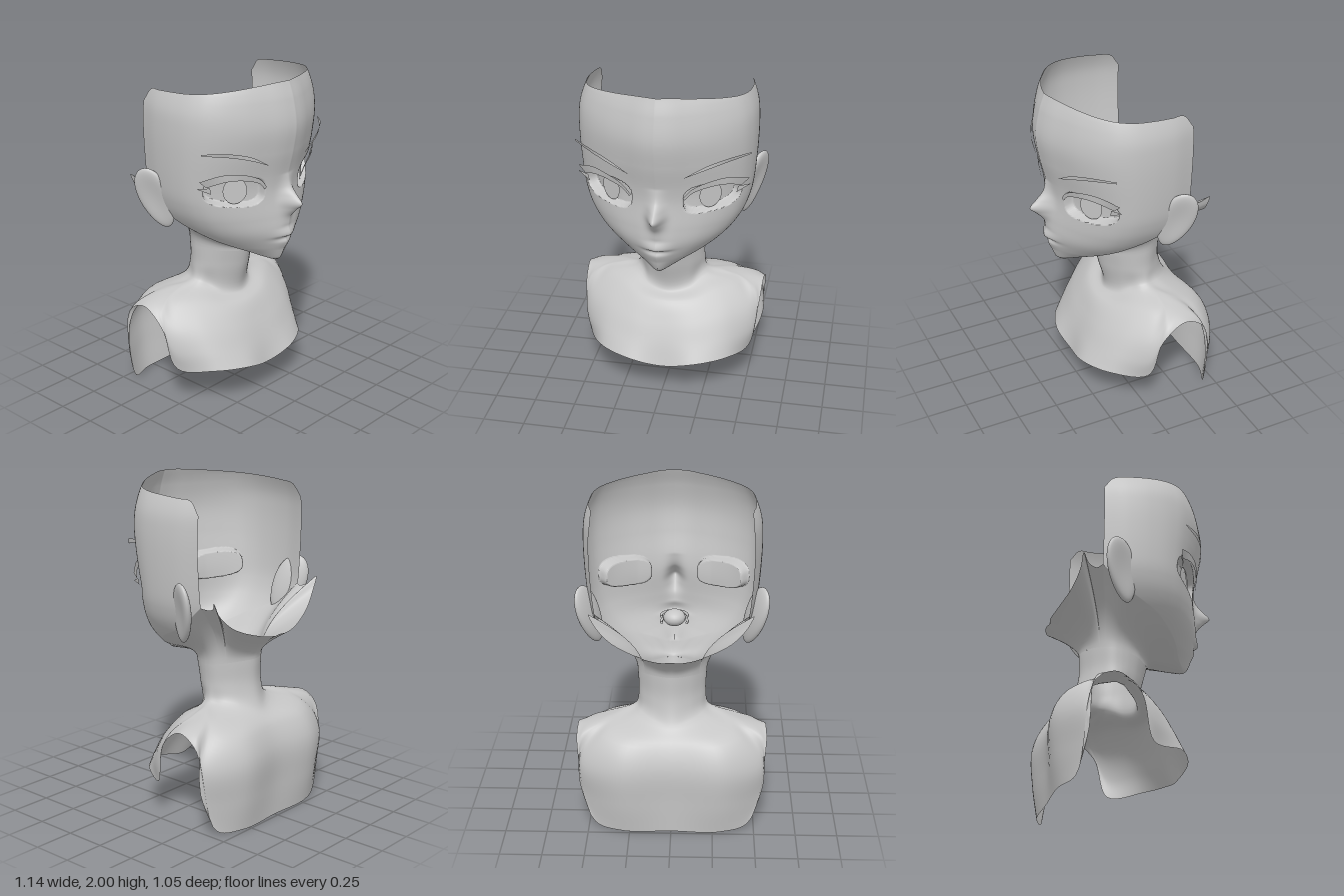
import * as THREE from 'three';
import { mergeGeometries, mergeVertices } from 'three/addons/utils/BufferGeometryUtils.js';

const V = (x, y, z) => new THREE.Vector3(x, y, z);
const { lerp, smoothstep } = THREE.MathUtils;
const skin = new THREE.MeshStandardMaterial({ color: 0xc6c6c6, side: THREE.DoubleSide });
skin.name = 'plain grey';

// Smooth curve through [position, value] knots
function curve(k) {
  const slope = i => {
    const a = k[Math.max(i - 1, 0)], b = k[Math.min(i + 1, k.length - 1)];
    return (b[1] - a[1]) / (b[0] - a[0]);
  };
  return t => {
    t = Math.min(Math.max(t, k[0][0]), k[k.length - 1][0]);
    let i = 0;
    while (i < k.length - 2 && t > k[i + 1][0]) i++;
    const h = k[i + 1][0] - k[i][0], s = (t - k[i][0]) / h, r = 1 - s;
    return k[i][1] * (1 + 2 * s) * r * r + slope(i) * h * s * r * r
      + k[i + 1][1] * s * s * (3 - 2 * s) - slope(i + 1) * h * s * s * r;
  };
}
const steps = values => curve(values.map((v, i) => [i, v]));

// Mirrored sheet: fn(u, v) gives the +x half, u = 0 at the front centre line
function sheet(fn, nu, nv, flip) {
  const pos = [], idx = [], row = 2 * nu + 1;
  for (let j = 0; j <= nv; j++) for (let i = -nu; i <= nu; i++) {
    const p = fn(Math.abs(i) / nu, j / nv);
    pos.push(i < 0 ? -p.x : p.x, p.y, p.z);
  }
  for (let j = 0; j < nv; j++) for (let i = 0; i < row - 1; i++) {
    const a = j * row + i, b = a + 1, c = b + row, d = a + row;
    if (flip) idx.push(a, c, b, a, d, c); else idx.push(a, b, c, a, c, d);
  }
  return surface(pos, idx);
}
function surface(pos, idx) {
  const g = new THREE.BufferGeometry();
  g.setAttribute('position', new THREE.Float32BufferAttribute(pos, 3));
  return g.setIndex(idx);
}
// Smooth mesh with welded seams
function smoothMesh(name, geometry) {
  const g = mergeVertices(geometry, 1e-4);
  g.computeVertexNormals();
  const m = new THREE.Mesh(g, skin);
  m.name = name;
  return m;
}

// Thin strip between an upper and a lower edge, on the side given by sign
function strip(name, upper, lower, sign) {
  const n = 20, pos = [], idx = [];
  const [a, b] = [upper, lower].map(e => new THREE.CatmullRomCurve3(e.map(p => V(...p))));
  for (let i = 0; i <= n; i++) for (const c of [a, b]) {
    const p = c.getPoint(i / n);
    pos.push(p.x * sign, p.y, p.z);
  }
  for (let i = 0; i < n; i++) {
    const k = 2 * i;
    if (sign > 0) idx.push(k, k + 1, k + 3, k, k + 3, k + 2);
    else idx.push(k, k + 3, k + 1, k, k + 2, k + 3);
  }
  return smoothMesh(name, surface(pos, idx));
}

// Face: half width and front profile by height, cross-section from nose line to behind the ear
const width = curve([[0.9, 0.11], [0.95, 0.19], [1, 0.27], [1.1, 0.38], [1.2, 0.45], [1.3, 0.488],
  [1.4, 0.505], [1.6, 0.52], [1.75, 0.522], [1.85, 0.512], [1.95, 0.477], [2, 0.445]]);
const front = curve([[0.9, 0.345], [0.92, 0.367], [1, 0.398], [1.1, 0.425], [1.2, 0.42], [1.35, 0.405],
  [1.45, 0.415], [1.6, 0.45], [1.75, 0.47], [1.9, 0.445], [2, 0.41]]);
const nose = curve([[1.14, 0], [1.2, 0.02], [1.25, 0.07], [1.29, 0.114], [1.33, 0.08], [1.38, 0.03], [1.46, 0]]);
const lips = curve([[0.98, 0], [1.03, 0.006], [1.06, -0.01], [1.08, 0.017], [1.13, 0]]);
const secX = steps([0, 0.15, 0.3, 0.57, 0.8, 0.94, 1, 0.98, 0.9]);
const secZ = steps([1, 0.965, 0.9, 0.75, 0.56, 0.35, 0.05, -0.5, -1]);
const jawY = steps([0.9, 0.903, 0.91, 0.94, 1, 1.05, 1.12, 1.2, 1.33]);
const topY = curve([[0, 2], [1, 2], [2, 1.995], [4, 1.97], [6, 1.95], [7, 1.938], [7.6, 1.925], [8, 1.85]]);

function face(a, y) {
  const x = width(y) * secX(a), s = secZ(a);
  let z = s > 0 ? s * front(y) : s * 0.28;
  z += nose(y) * Math.exp(-((x / 0.044) ** 2)) + lips(y) * Math.exp(-((x / 0.07) ** 2));
  // Sunken eye opening, deeper towards the temple
  const dx = Math.abs((x - 0.302) / 0.15), dy = Math.abs((y - 1.39 - 0.1 * (x - 0.3)) / 0.087);
  const open = a < 6 ? 1 - smoothstep(dx ** 3 + dy ** 3, 0.78, 1.08) : 0;
  const depth = open * (0.046 + 0.1 * Math.max(0, x - 0.25));
  return V(x - 0.55 * depth, y, z - depth);
}

// Bust: columns from the neck base to the lower edge or armhole, front centre to back centre
const bust = [
  [[0, 0.61, 0.045], [0, 0.565, 0.12], [0, 0.46, 0.185], [0, 0.34, 0.24], [0, 0.2, 0.287]],
  [[0.12, 0.63, 0.005], [0.17, 0.575, 0.085], [0.19, 0.46, 0.17], [0.2, 0.34, 0.235], [0.2, 0.237, 0.295]],
  [[0.175, 0.67, -0.055], [0.3, 0.61, -0.005], [0.36, 0.49, 0.085], [0.38, 0.36, 0.155], [0.39, 0.25, 0.2]],
  [[0.205, 0.69, -0.09], [0.41, 0.615, -0.085], [0.5, 0.49, -0.02], [0.525, 0.36, 0.005], [0.51, 0.24, 0]],
  [[0.215, 0.695, -0.11], [0.4, 0.64, -0.14], [0.49, 0.603, -0.125], [0.535, 0.56, -0.105], [0.555, 0.5, -0.08]],
  [[0.22, 0.7, -0.14], [0.31, 0.672, -0.17], [0.4, 0.648, -0.19], [0.49, 0.627, -0.205], [0.565, 0.607, -0.22]],
  [[0.21, 0.695, -0.18], [0.36, 0.648, -0.265], [0.47, 0.612, -0.31], [0.535, 0.575, -0.335], [0.567, 0.53, -0.35]],
  [[0.185, 0.69, -0.235], [0.4, 0.595, -0.37], [0.53, 0.42, -0.4], [0.535, 0.22, -0.385], [0.47, 0.03, -0.415]],
  [[0.12, 0.67, -0.305], [0.27, 0.57, -0.455], [0.31, 0.42, -0.52], [0.31, 0.2, -0.51], [0.3, 0, -0.48]],
  [[0, 0.65, -0.355], [0, 0.56, -0.44], [0, 0.42, -0.495], [0, 0.2, -0.49], [0, 0, -0.48]],
];
// Neck section: an oval pinched towards a diamond
function neckRing(phi, w, y, f, b) {
  const k = 1 - 0.08 * Math.sin(2 * phi) ** 2, c = Math.cos(phi);
  return V(k * w * Math.sin(phi), y, -0.13 + k * c * (c > 0 ? f : b));
}
const half = bust.map(c => {
  const phi = Math.atan2(c[0][0], c[0][2] + 0.13);
  return [neckRing(phi, 0.207, 0.92 - 0.025 * Math.cos(phi), 0.237, 0.18),
    neckRing(phi, 0.202, 0.79, 0.21, 0.18), ...c.map(p => V(...p))];
});
const flipX = c => c.map(p => V(-p.x, p.y, p.z));
const columns = [flipX(half[1]), ...half, flipX(half[half.length - 2])];
const rails = columns.map(c => new THREE.CatmullRomCurve3(c));
const across = v => new THREE.CatmullRomCurve3(rails.map(r => r.getPoint(v)));
const bustU = u => (1 + u * (half.length - 1)) / (half.length + 1);

// Jaw line carried on round the open back of the skull
const backRim = new THREE.CatmullRomCurve3([face(8, jawY(8)), V(0.42, 1.32, -0.31), V(0.435, 1.335, -0.36),
  V(0.47, 1.38, -0.4), V(0.43, 1.3, -0.408), V(0.34, 1.215, -0.435), V(0.17, 1.15, -0.485),
  V(0.06, 1.132, -0.505), V(0, 1.13, -0.495)]);
const rim = u => u <= 0.6 ? face(8 * u / 0.6, jawY(8 * u / 0.6)) : backRim.getPoint((u - 0.6) / 0.4);
const neckTop = across(0);
function underside(u, v) {
  const r = rim(u), phi = Math.atan2(r.x, r.z + 0.13);
  let lo = 0, hi = 1;
  for (let i = 0; i < 24; i++) {
    const m = (lo + hi) / 2, p = neckTop.getPoint(bustU(m));
    if (Math.atan2(p.x, p.z + 0.13) < phi) lo = m; else hi = m;
  }
  const n = neckTop.getPoint(bustU(u === 0 ? 0 : u === 1 ? 1 : lo));
  const c = V(n.x, lerp(n.y, r.y, 0.4) + 0.015 + 0.025 * Math.cos(phi), n.z);
  // Leave the jaw line in the direction of the cheek, so that the jaw is rounded
  const start = r.clone().lerp(c, 0.45);
  if (u < 0.6) {
    const a = 8 * u / 0.6, cheek = face(a, jawY(a)).sub(face(a, jawY(a) + 0.04));
    start.addScaledVector(cheek, 1.1 * smoothstep(u, 0.08, 0.3) * (1 - smoothstep(u, 0.45, 0.6)));
  }
  return new THREE.CubicBezierCurve3(r, start, c, n).getPoint(v);
}

// Ear: flattened ball narrowing downwards, with a hollow outer face
function ear(sign) {
  const g = new THREE.SphereGeometry(1, 32, 24), p = g.attributes.position;
  for (let i = 0; i < p.count; i++) {
    const x = p.getX(i), y = p.getY(i), z = p.getZ(i), r = y * y + z * z;
    const taper = 1 + 0.15 * y;
    p.setXYZ(i, (x > 0 ? x * (0.3 + 0.7 * r) : x) * 0.04, y * 0.196, z * 0.1 * taper);
  }
  g.rotateX(-0.28).rotateY(-0.45).rotateZ(-0.17).translate(0.487, 1.29, -0.175);
  g.computeVertexNormals();
  const m = new THREE.Mesh(g, skin);
  m.name = 'ear';
  m.scale.x = sign;
  return m;
}

export function createModel() {
  const model = new THREE.Group();
  model.name = 'bust';
  const faceSheet = sheet((u, v) => face(8 * u, lerp(jawY(8 * u), topY(8 * u), v)), 120, 170, false);
  model.add(smoothMesh('head', mergeGeometries([faceSheet, sheet(underside, 200, 14, true)])));
  const rows = Array.from({ length: 37 }, (_, j) => across(j / 36));
  model.add(smoothMesh('neckAndShoulders',
    sheet((u, v) => rows[Math.round(v * 36)].getPoint(bustU(u)), 60, 36, true)));

  for (const s of [1, -1]) {
    model.add(ear(s));
    model.add(strip('eyebrow',
      [[0.16, 1.54, 0.405], [0.28, 1.61, 0.385], [0.4, 1.645, 0.325], [0.51, 1.645, 0.215]],
      [[0.16, 1.538, 0.405], [0.27, 1.585, 0.387], [0.38, 1.618, 0.332], [0.51, 1.635, 0.215]], s));
    model.add(strip('upperLash',
      [[0.15, 1.405, 0.385], [0.2, 1.46, 0.378], [0.3, 1.502, 0.34], [0.4, 1.508, 0.272], [0.5, 1.475, 0.19]],
      [[0.16, 1.39, 0.378], [0.2, 1.433, 0.372], [0.3, 1.465, 0.332], [0.38, 1.465, 0.28], [0.46, 1.435, 0.205]], s));
    model.add(strip('lashTip', [[0.44, 1.43, 0.215], [0.505, 1.435, 0.18]], [[0.43, 1.39, 0.215], [0.505, 1.432, 0.18]], s));

    // Iris and pupil lie on the sunken eye
    for (const [name, w, h, lift] of [['iris', 0.059, 0.078, 0.004], ['pupil', 0.024, 0.055, 0.008]]) {
      const g = new THREE.CircleGeometry(1, 32).scale(w * 1.2, h, 1).rotateY(0.62);
      const m = new THREE.Mesh(g.translate(0.288 + lift * 0.5, 1.388, 0.263 + lift), skin);
      m.name = name;
      m.scale.x = s;
      model.add(m);
    }
  }

  // Mouth inside the head
  const bag = new THREE.Mesh(new THREE.SphereGeometry(0.07, 24, 16), skin);
  bag.name = 'mouthCavity';
  bag.scale.y = 0.75;
  bag.position.set(0, 1.07, 0.315);
  model.add(bag);
  for (const y of [1.05, 1.09]) {
    const teeth = new THREE.Mesh(new THREE.TorusGeometry(0.082, 0.009, 8, 32, Math.PI * 1.2), skin);
    teeth.name = 'teeth';
    teeth.geometry.rotateZ(-Math.PI * 0.1).rotateX(Math.PI / 2);
    teeth.position.set(0, y, 0.3);
    model.add(teeth);
  }
  return model;
}
